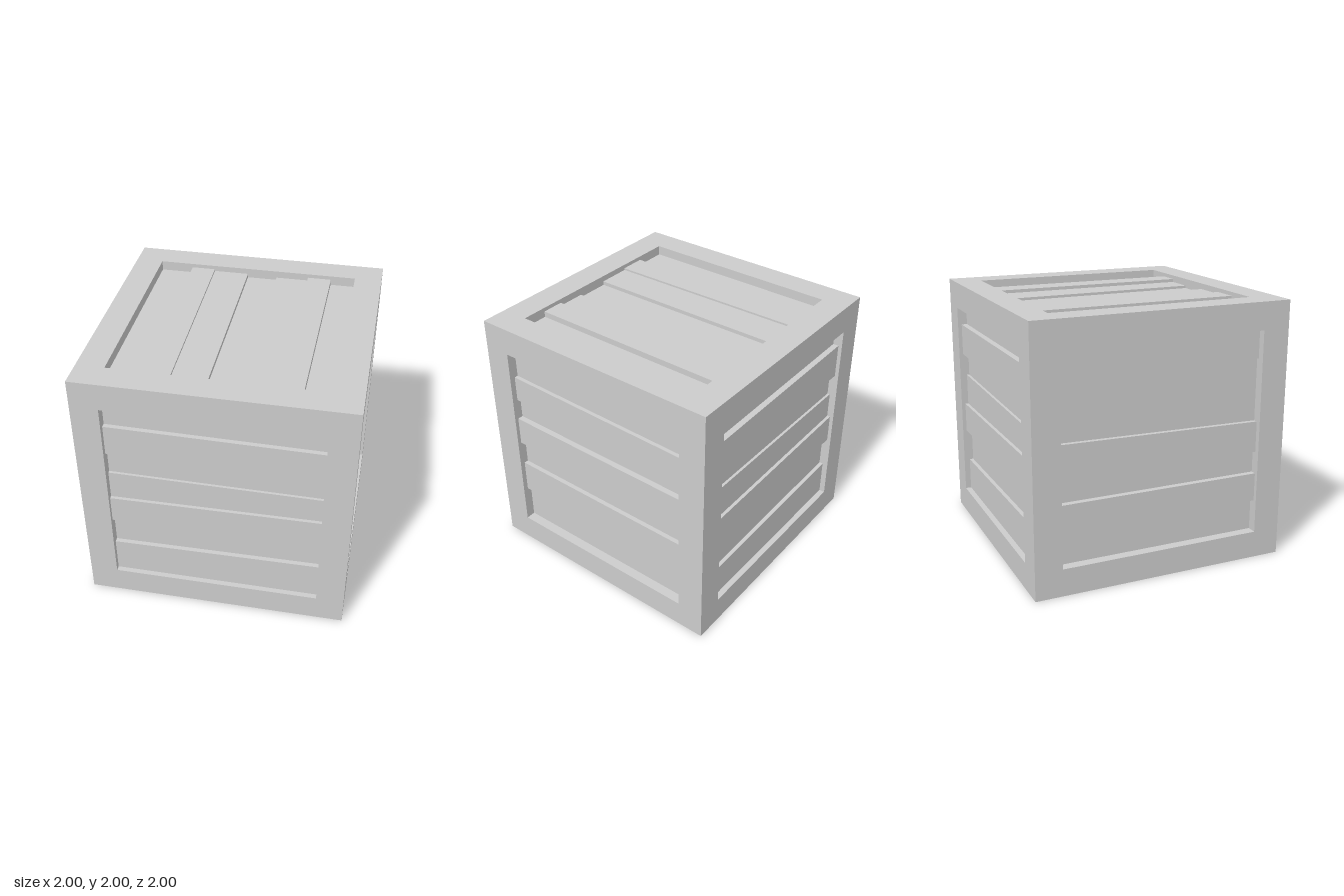
import * as THREE from 'three';

const H = 0.79; // half-size of each panel opening
const BEAM = 1 - H; // thickness of the frame beams

const wood = new THREE.MeshStandardMaterial({ color: 0xcccccc });
wood.name = 'plain grey';

function square(PathType, r) {
  const p = new PathType();
  p.moveTo(-r, -r);
  p.lineTo(r, -r);
  p.lineTo(r, r);
  p.lineTo(-r, r);
  p.closePath();
  return p;
}

function add(parent, name, geometry) {
  const mesh = new THREE.Mesh(geometry, wood);
  mesh.name = name;
  parent.add(mesh);
  return mesh;
}

// Outer frame: two square rings joined by four corner posts
function createFrame() {
  const frame = new THREE.Group();
  frame.name = 'frame';
  const outline = square(THREE.Shape, 1);
  outline.holes.push(square(THREE.Path, H));
  const ring = new THREE.ExtrudeGeometry(outline, { depth: BEAM, bevelEnabled: false });
  ring.rotateX(-Math.PI / 2);
  add(frame, 'bottomRing', ring).position.y = -1;
  add(frame, 'topRing', ring).position.y = H;
  const post = new THREE.BoxGeometry(BEAM, 2 * H, BEAM);
  const c = 1 - BEAM / 2;
  for (const x of [-c, c]) {
    for (const z of [-c, c]) add(frame, 'cornerPost', post).position.set(x, 0, z);
  }
  return frame;
}

// Panel of planks stacked from +up to -up; each cut is [left, right] height,
// and each plank has its own recess below the frame surface
function createPanel({ name, up, out, cuts, recess }) {
  const panel = new THREE.Group();
  panel.name = name;
  const edges = [[H, H], ...cuts, [-H, -H]];
  recess.forEach((depth, i) => {
    const [a, b] = [edges[i], edges[i + 1]];
    const shape = new THREE.Shape();
    shape.moveTo(-H, b[0]);
    shape.lineTo(H, b[1]);
    shape.lineTo(H, a[1]);
    shape.lineTo(-H, a[0]);
    shape.closePath();
    const geometry = new THREE.ExtrudeGeometry(shape, { depth: BEAM - depth, bevelEnabled: false });
    add(panel, 'plank', geometry).position.z = H;
  });
  const y = new THREE.Vector3(...up);
  const z = new THREE.Vector3(...out);
  const x = new THREE.Vector3().crossVectors(y, z);
  panel.quaternion.setFromRotationMatrix(new THREE.Matrix4().makeBasis(x, y, z));
  return panel;
}

const D = 0.075, M = 0.055, R = 0.03; // deep, middle and raised planks

const PANELS = [
  {
    name: 'frontPanel', up: [0, 1, 0], out: [0, 0, 1],
    cuts: [[0.615, 0.6], [0.37, 0.365], [0.18, 0.17], [-0.05, -0.03], [-0.27, -0.25], [-0.51, -0.49]],
    recess: [D, 0.04, D, M, R, D, 0.04],
  },
  {
    name: 'rightPanel', up: [0, 1, 0], out: [1, 0, 0],
    cuts: [[0.57, 0.54], [0.365, 0.35], [0.2, 0.19], [-0.03, -0.015], [-0.235, -0.24], [-0.5, -0.5]],
    recess: [D, 0.045, D, R, D, 0.04, D],
  },
  {
    name: 'backPanel', up: [0, 1, 0], out: [0, 0, -1],
    cuts: [[0.65, 0.66], [0.4, 0.385], [0.22, 0.2], [-0.03, -0.01], [-0.27, -0.24], [-0.53, -0.5]],
    recess: [D, R, D, M, R, D, 0.045],
  },
  {
    name: 'leftPanel', up: [0, 1, 0], out: [-1, 0, 0],
    cuts: [[0.55, 0.57], [0.12, 0.09], [-0.1, -0.15], [-0.32, -0.32], [-0.57, -0.54]],
    recess: [M, D, 0.04, D, R, D],
  },
  {
    name: 'topPanel', up: [1, 0, 0], out: [0, 1, 0],
    cuts: [[0.6, 0.59], [0.415, 0.415], [0.16, 0.19], [-0.075, -0.075], [-0.35, -0.335], [-0.535, -0.535]],
    recess: [D, R, M, D, 0.045, R, D],
  },
  {
    name: 'bottomPanel', up: [1, 0, 0], out: [0, -1, 0],
    cuts: [[0.3, 0.35], [-0.02, 0], [-0.22, -0.2], [-0.52, -0.5]],
    recess: [D, 0.04, D, M, 0.04],
  },
];

export function createModel() {
  const crate = new THREE.Group();
  crate.name = 'crate';
  const body = new THREE.Group();
  body.name = 'body';
  body.position.y = 1;
  body.add(createFrame(), ...PANELS.map(createPanel));
  crate.add(body);
  return crate;
}
